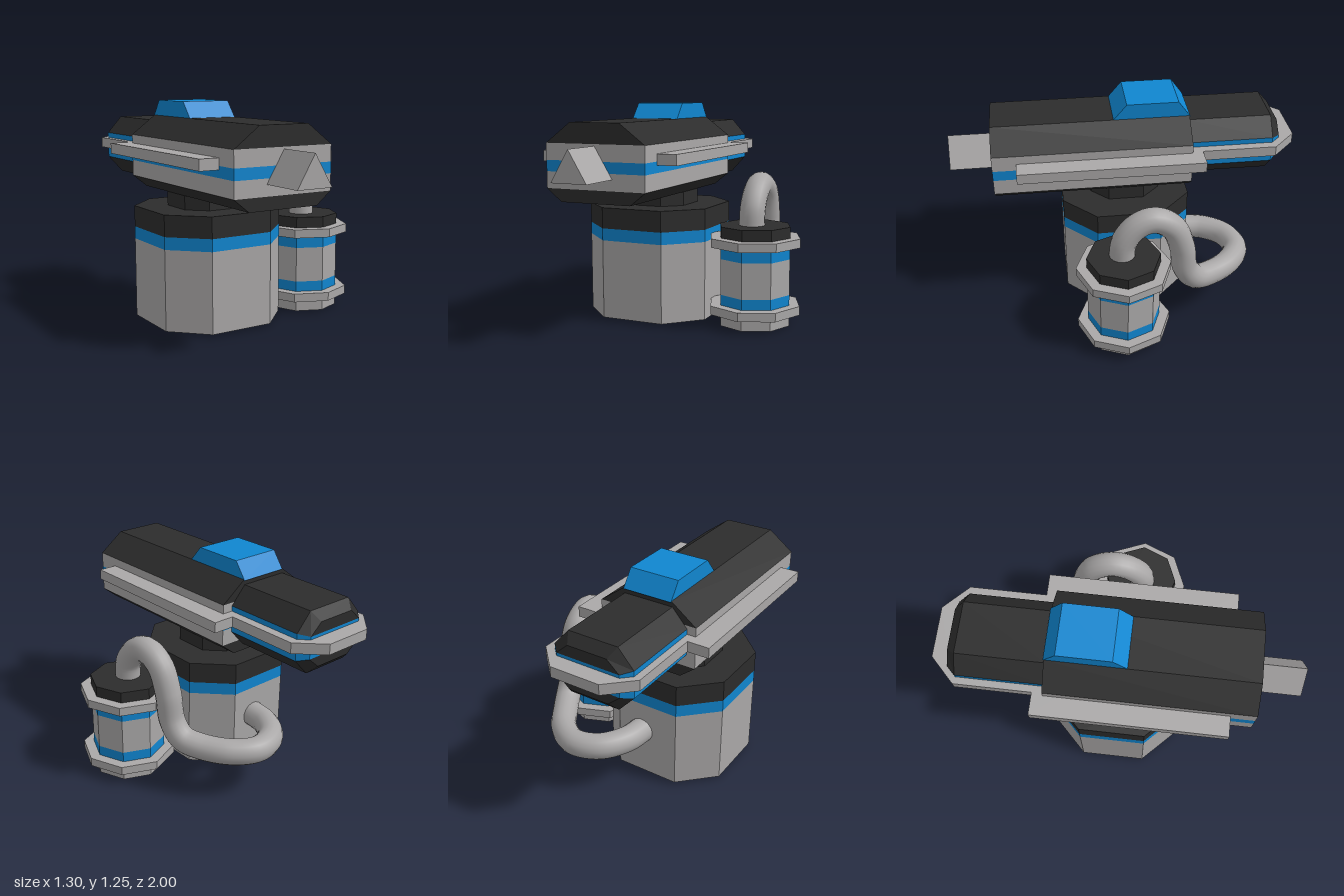
import * as THREE from 'three';

export function createModel() {
  const model = new THREE.Group();
  const mat = (name, color) => {
    const m = new THREE.MeshStandardMaterial({ color });
    m.name = name;
    return m;
  };
  const grey = mat('light grey', 0xaaa8a8);
  const blue = mat('bright blue', 0x1086d0);
  const black = mat('charcoal', 0x2c2c2c);

  const add = (name, geometry, material, x = 0, y = 0, z = 0) => {
    const mesh = new THREE.Mesh(geometry, material);
    mesh.name = name;
    mesh.position.set(x, y, z);
    model.add(mesh);
    return mesh;
  };

  // Flat-faced skin over convex rings, counter-clockwise seen from the last ring
  function loft(rings) {
    const pos = [];
    const tri = (a, b, c) => pos.push(...a, ...b, ...c);
    const n = rings[0].length, last = rings[rings.length - 1];
    for (let i = 0; i < rings.length - 1; i++) {
      for (let j = 0; j < n; j++) {
        const k = (j + 1) % n;
        tri(rings[i][j], rings[i][k], rings[i + 1][k]);
        tri(rings[i][j], rings[i + 1][k], rings[i + 1][j]);
      }
    }
    for (let j = 1; j < n - 1; j++) {
      tri(rings[0][0], rings[0][j + 1], rings[0][j]);
      tri(last[0], last[j], last[j + 1]);
    }
    const g = new THREE.BufferGeometry();
    g.setAttribute('position', new THREE.Float32BufferAttribute(pos, 3));
    g.computeVertexNormals();
    return g;
  }

  // Horizontal plate from an [x, z] outline
  function plate(outline, height) {
    const shape = new THREE.Shape(outline.map(([x, z]) => new THREE.Vector2(x, -z)));
    return new THREE.ExtrudeGeometry(shape, { depth: height, bevelEnabled: false }).rotateX(-Math.PI / 2);
  }
  const chamferedSquare = (h, c) => [
    [h, c], [h, -c], [c, -h], [-c, -h], [-h, -c], [-h, c], [-c, h], [c, h],
  ];

  const CX = -0.25;

  // Pedestal and neck
  [['pedestalBody', 0.015, 0.47, grey], ['pedestalStripe', 0.47, 0.54, blue], ['pedestalTop', 0.54, 0.66, black]]
    .forEach(([name, y0, y1, m]) => add(name, plate(chamferedSquare(0.3725, 0.186), y1 - y0), m, CX, y0, -0.01));
  add('neck', plate(chamferedSquare(0.2025, 0.1025), 0.08), black, CX, 0.66, -0.01);

  // One colour layer of the gun: trapezoid [lower half width, y, upper half width, y] at z
  const layer = (w0, y0, w1, y1, z) => [[-w0, y0, z], [w0, y0, z], [w1, y1, z], [-w1, y1, z]];

  // Main gun body
  [
    ['bodyUnderside', 0.205, 0.74, 0.292, 0.81, black],
    ['bodyLowerSide', 0.292, 0.81, 0.292, 0.90, grey],
    ['bodyStripe', 0.292, 0.90, 0.292, 0.96, blue],
    ['bodyUpperSide', 0.292, 0.96, 0.292, 1.05, grey],
    ['bodyTop', 0.292, 1.05, 0.145, 1.16, black],
  ].forEach(([name, w0, y0, w1, y1, m]) =>
    add(name, loft([layer(w0, y0, w1, y1, -0.38), layer(w0, y0, w1, y1, 0.75)]), m, CX));

  // Narrower rear housing with a chamfered end
  [
    ['rearUnderside', [0.145, 0.78, 0.235, 0.878], [0.115, 0.83, 0.185, 0.89], black],
    ['rearStripe', [0.235, 0.878, 0.235, 1.03], [0.185, 0.89, 0.185, 1.017], blue],
    ['rearTop', [0.235, 1.03, 0.145, 1.13], [0.185, 1.017, 0.115, 1.08], black],
  ].forEach(([name, full, end, m]) =>
    add(name, loft([layer(...end, -0.905), layer(...full, -0.855), layer(...full, -0.37)]), m, CX - 0.006));

  // Rail plate running along both sides and around the rear
  const half = [[0.403, 0.615], [0.403, -0.44], [0.28, -0.44], [0.28, -0.865], [0.143, -1]];
  const mirrored = half.map(([x, z]) => [-x, z]).reverse();
  add('sideRail', plate([...half, ...mirrored], 0.06), grey, CX, 0.94);

  // Triangular muzzle
  const muzzle = z => [[-0.103, 0.87, z], [0.103, 0.87, z], [0, 1.04, z]];
  add('muzzle', loft([muzzle(0.74), muzzle(1)]), grey, CX);

  // Sight block with sloped front and back
  const sight = (y, z0, z1) => [[-0.145, y, z1], [0.145, y, z1], [0.145, y, z0], [-0.145, y, z0]];
  add('sight', loft([sight(1.155, -0.385, 0.06), sight(1.25, -0.315, -0.02)]), blue, CX);

  // Eight-sided canister, stacked in bands
  [
    ['canisterFoot', 0.21, 0, 0.07, grey],
    ['canisterLowerFlange', 0.27, 0.07, 0.12, grey],
    ['canisterLowerStripe', 0.21, 0.12, 0.18, blue],
    ['canisterBody', 0.21, 0.18, 0.385, grey],
    ['canisterUpperStripe', 0.21, 0.385, 0.455, blue],
    ['canisterUpperFlange', 0.27, 0.455, 0.505, grey],
    ['canisterCap', 0.21, 0.505, 0.568, black],
  ].forEach(([name, r, y0, y1, m]) =>
    add(name, loft([y0, y1].map(y => Array.from({ length: 8 }, (_, i) => {
      const a = (i * Math.PI) / 4;
      return [Math.cos(a) * r, y, -Math.sin(a) * r];
    }))), m, 0.38, 0, 0.055));

  // Hose from the canister cap round to the back of the pedestal
  const path = new THREE.CatmullRomCurve3([
    [0.365, 0.54, 0.065], [0.365, 0.66, 0.05], [0.36, 0.755, -0.025], [0.355, 0.783, -0.115],
    [0.35, 0.725, -0.22], [0.345, 0.58, -0.28], [0.338, 0.42, -0.305], [0.32, 0.33, -0.37],
    [0.27, 0.3, -0.46], [0.17, 0.29, -0.6], [0.04, 0.29, -0.675], [-0.1, 0.292, -0.635],
    [-0.19, 0.295, -0.51], [-0.215, 0.295, -0.36],
  ].map(p => new THREE.Vector3(...p)));
  add('hose', new THREE.TubeGeometry(path, 72, 0.073, 16), grey);

  return model;
}
